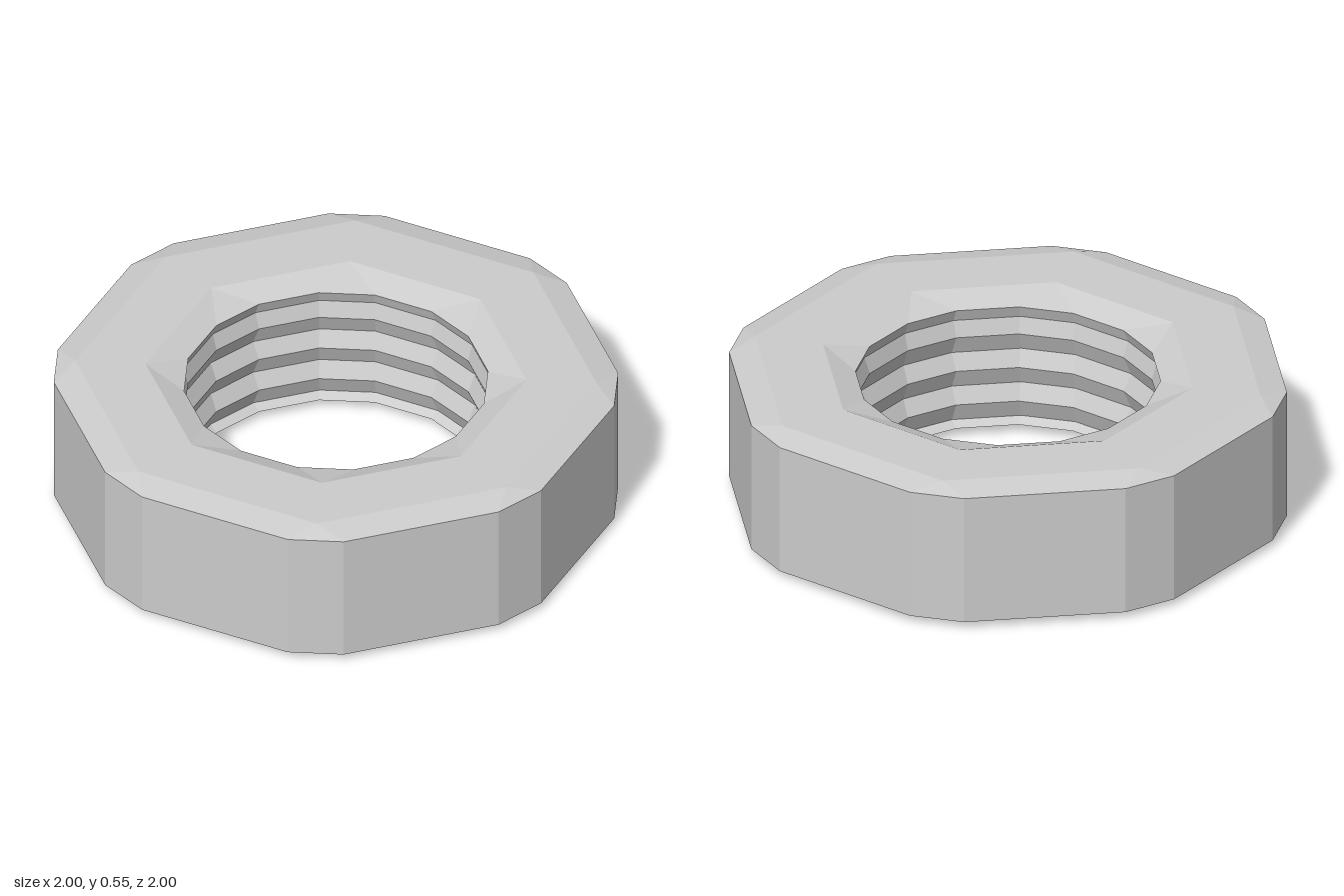
import * as THREE from 'three';

const SIDES = 8;

// Ring of 16 points: eight corners at distance a, each cut by a flat of half width h
function ring([a, h, y]) {
  const points = [];
  for (let k = 0; k < SIDES; k++) {
    const t = (k * Math.PI * 2) / SIDES;
    for (const s of [-h, h]) {
      points.push(new THREE.Vector3(
        a * Math.sin(t) + s * Math.cos(t), y, a * Math.cos(t) - s * Math.sin(t)));
    }
  }
  return points;
}

// Skin a list of [a, h, y] rings, leaving out collapsed triangles
function skin(name, profile, material) {
  const rings = profile.map(ring);
  const pos = [];
  const tri = (a, b, c) => {
    if (a.distanceTo(b) < 1e-6 || b.distanceTo(c) < 1e-6 || c.distanceTo(a) < 1e-6) return;
    for (const p of [a, b, c]) pos.push(p.x, p.y, p.z);
  };
  for (let j = 0; j < rings.length - 1; j++) {
    const lo = rings[j], hi = rings[j + 1], n = lo.length;
    for (let i = 0; i < n; i++) {
      const k = (i + 1) % n;
      tri(lo[i], lo[k], hi[k]);
      tri(lo[i], hi[k], hi[i]);
    }
  }
  const geometry = new THREE.BufferGeometry();
  geometry.setAttribute('position', new THREE.Float32BufferAttribute(pos, 3));
  geometry.computeVertexNormals();
  const mesh = new THREE.Mesh(geometry, material);
  mesh.name = name;
  return mesh;
}

export function createModel() {
  const group = new THREE.Group();
  group.name = 'octagonalNut';
  const material = new THREE.MeshStandardMaterial({ color: 0xcccccc, flatShading: true });

  const crest = 0.535, valley = 0.566, flat = 0.1;
  const top = 0.545, topLip = 0.505, bottomLip = 0.035;

  // Bevelled body: from the lower lip of the hole, round the outside, to the upper lip
  group.add(skin('nutBody', [
    [crest, flat, bottomLip],
    [0.68, 0, 0],
    [0.93, 0, 0],
    [1, flat, 0.027],
    [1, flat, 0.52],
    [0.93, 0, top],
    [0.68, 0, top],
    [crest, flat, topLip],
  ], material));

  // Thread grooves down the hole
  const thread = [[crest, flat, topLip], [0.554, flat, 0.458]];
  for (let i = 0; i < 3; i++) {
    const y = 0.397 - i * 0.134;
    thread.push([crest, flat, y], [valley, flat, y - 0.072]);
  }
  thread.push([crest, flat, bottomLip]);
  group.add(skin('innerThread', thread, material));

  return group;
}
